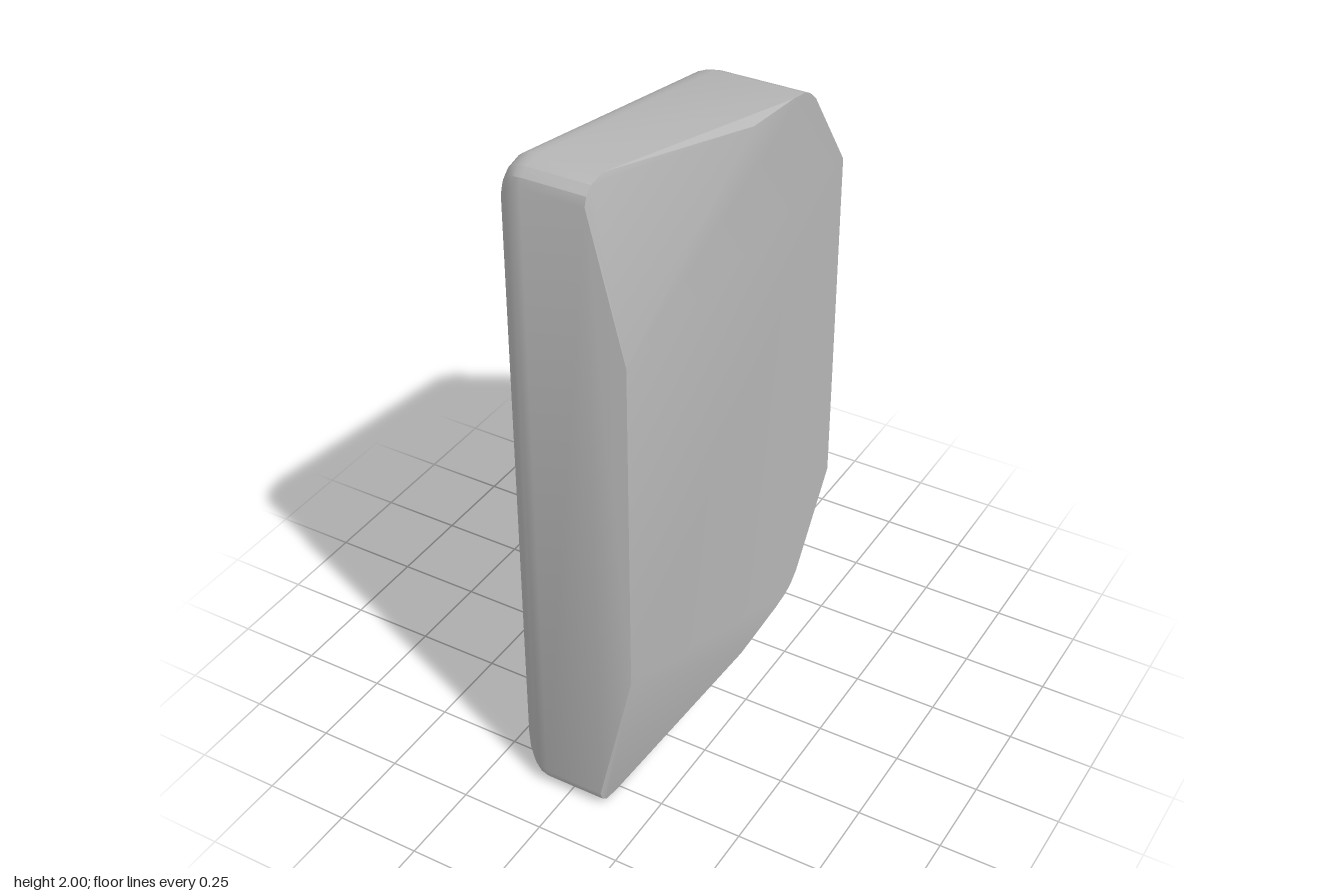
import * as THREE from 'three';
import { ConvexGeometry } from 'three/addons/geometries/ConvexGeometry.js';
import { toCreasedNormals } from 'three/addons/utils/BufferGeometryUtils.js';

export function createModel() {
  const group = new THREE.Group();
  group.name = 'bevelledSlab';
  const grey = new THREE.MeshStandardMaterial({ color: 0xb8b8b8 });
  grey.name = 'plain grey';

  const points = [];
  // Adds a point and its twin mirrored about mid height (y = 1)
  const add = (x, y, z) => points.push(new THREE.Vector3(x, y, z), new THREE.Vector3(x, 2 - y, z));

  // Upper half of the outline as [z, y], front to back, and its inset on the right face
  const outer = [[0.6, 1.945], [0.592, 1.97], [0.57, 1.99], [0.52, 2], [-0.34, 1.855], [-0.375, 1.84], [-0.41, 1.81], [-0.6, 1.54]];
  const inner = [[0.42, 1.72], [0.41, 1.75], [0.39, 1.77], [0.36, 1.79], [-0.28, 1.68], [-0.3, 1.675], [-0.32, 1.66], [-0.47, 1.45]];

  // Rounded right edge: rings shrinking along a quarter ellipse
  const steps = 8;
  for (let i = 0; i <= steps; i++) {
    const a = (i / steps) * Math.PI / 2;
    const t = 1 - Math.cos(a);
    outer.forEach(([z, y], k) => add(
      -0.07 - 0.13 * Math.sin(a),
      THREE.MathUtils.lerp(y, inner[k][1], t),
      THREE.MathUtils.lerp(z, inner[k][0], t)));
  }

  // Left edge: sharp at the back, cut back along the front corners
  outer.forEach(([z, y]) => add(z > 0.5 ? 0.11 : 0.2, y, z));
  add(0.2, 1.865, -0.28);
  add(0.2, 1.883, -0.06);
  add(0.2, 1.51, 0.573);

  const slab = new THREE.Mesh(toCreasedNormals(new ConvexGeometry(points), 0.45), grey);
  slab.name = 'slab';
  group.add(slab);
  return group;
}
